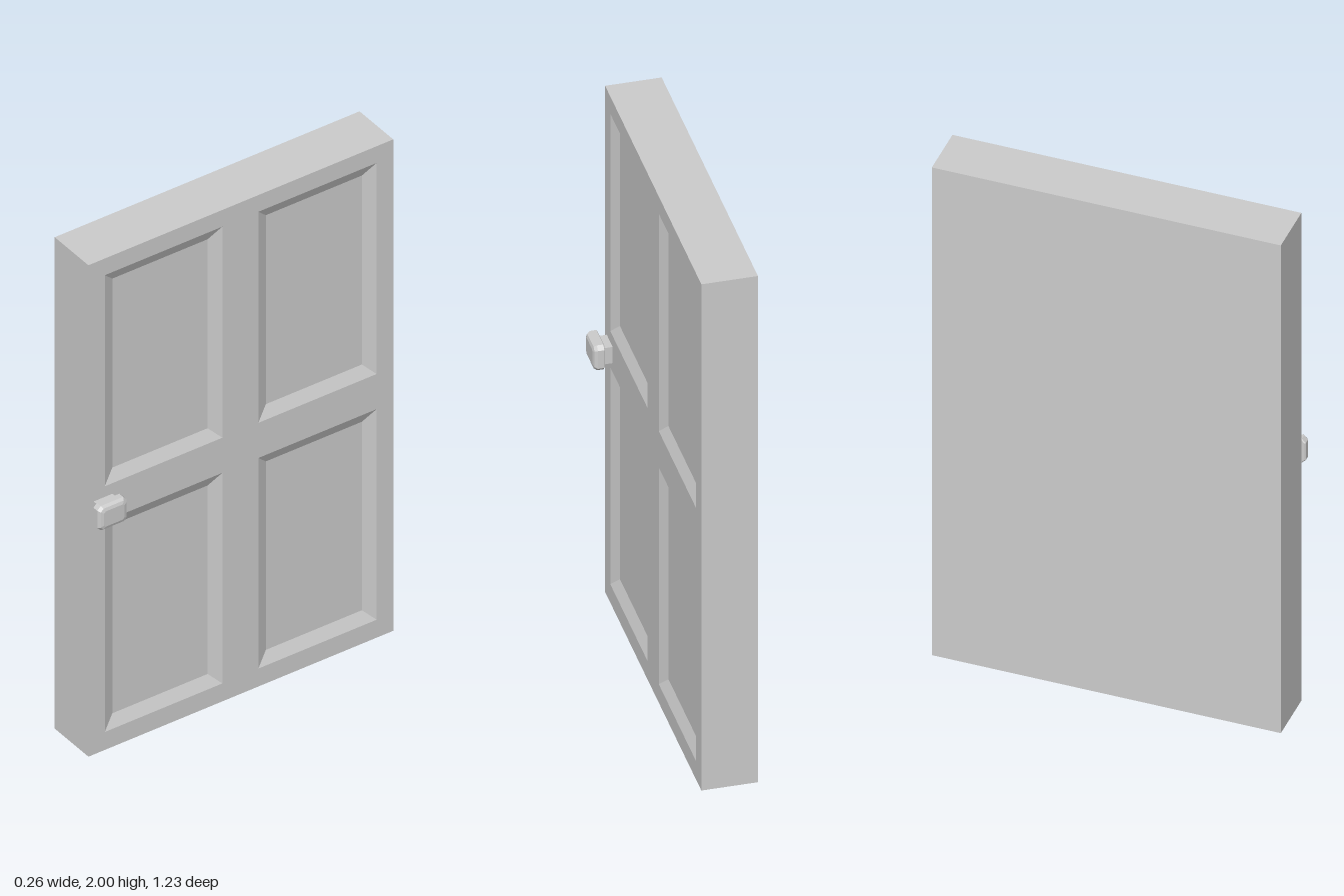
import * as THREE from 'three';

const material = new THREE.MeshStandardMaterial({ color: 0xcccccc, flatShading: true });

// Counter-clockwise rectangle at depth z, with optional cut corners
function ring(u0, u1, y0, y1, z, inset = 0, cut = 0) {
  const l = u0 + inset, r = u1 - inset, b = y0 + inset, t = y1 - inset;
  const pts = cut > 0
    ? [[l + cut, b], [r - cut, b], [r, b + cut], [r, t - cut], [r - cut, t], [l + cut, t], [l, t - cut], [l, b + cut]]
    : [[l, b], [r, b], [r, t], [l, t]];
  return pts.map(([u, y]) => new THREE.Vector3(u, y, z));
}

// Skin a series of rings and close the last one (and the first, if asked)
function loft(rings, closeStart = false) {
  const tris = [];
  const n = rings[0].length;
  for (let k = 0; k < rings.length - 1; k++) {
    const a = rings[k], b = rings[k + 1];
    for (let i = 0; i < n; i++) {
      const j = (i + 1) % n;
      tris.push(a[i], a[j], b[j], a[i], b[j], b[i]);
    }
  }
  const first = rings[0], last = rings[rings.length - 1];
  for (let i = 1; i < n - 1; i++) {
    tris.push(last[0], last[i], last[i + 1]);
    if (closeStart) tris.push(first[0], first[i + 1], first[i]);
  }
  const geometry = new THREE.BufferGeometry().setFromPoints(tris);
  geometry.computeVertexNormals();
  return geometry;
}

export function createModel() {
  const model = new THREE.Group();
  model.name = 'door';

  // Everything is laid out facing +z, then turned to face +x
  const door = new THREE.Group();
  door.name = 'doorAssembly';
  door.rotation.y = Math.PI / 2;
  model.add(door);
  const add = (name, geometry) => {
    const mesh = new THREE.Mesh(geometry, material);
    mesh.name = name;
    door.add(mesh);
    return mesh;
  };

  const left = -0.613, right = 0.616, height = 2, back = -0.132, front = 0.061;

  // Slab: plain back and edges, open where the panelled face sits
  const slab = new THREE.BoxGeometry(right - left, height, front - back);
  const index = Array.from(slab.index.array);
  index.splice(24, 6);
  slab.setIndex(index);
  slab.clearGroups();
  slab.translate((left + right) / 2, height / 2, (front + back) / 2);
  add('slab', slab);

  // Panelled face with four openings, each filled by a bevelled recess
  const face = new THREE.Shape([[left, 0], [right, 0], [right, height], [left, height]]
    .map(([u, y]) => new THREE.Vector2(u, y)));
  const bevel = 0.045, depth = 0.021;
  const columns = [[-0.547, -0.073], [0.072, 0.549]];
  const rows = [[0.073, 0.93], [1.073, 1.932]];
  for (const [u0, u1] of columns) {
    for (const [y0, y1] of rows) {
      const outer = ring(u0, u1, y0, y1, front);
      face.holes.push(new THREE.Path(outer.map((p) => new THREE.Vector2(p.x, p.y))));
      add('recessedPanel', loft([outer, ring(u0, u1, y0, y1, front - depth, bevel)]));
    }
  }
  add('panelledFace', new THREE.ShapeGeometry(face)).position.z = front;

  // Knob: square neck and a bevelled head with cut corners
  const neck = new THREE.BoxGeometry(0.076, 0.064, 0.034);
  neck.translate(-0.554, 0.998, front + 0.015);
  add('knobNeck', neck);

  const headProfile = [[0.091, 0.003], [0.094, 0], [0.116, 0], [0.126, 0.007], [0.13, 0.018]];
  add('knobHead', loft(headProfile.map(([z, inset]) =>
    ring(-0.616, -0.498, 0.95, 1.048, z, inset, 0.014 - inset * 0.4)), true));

  return model;
}
